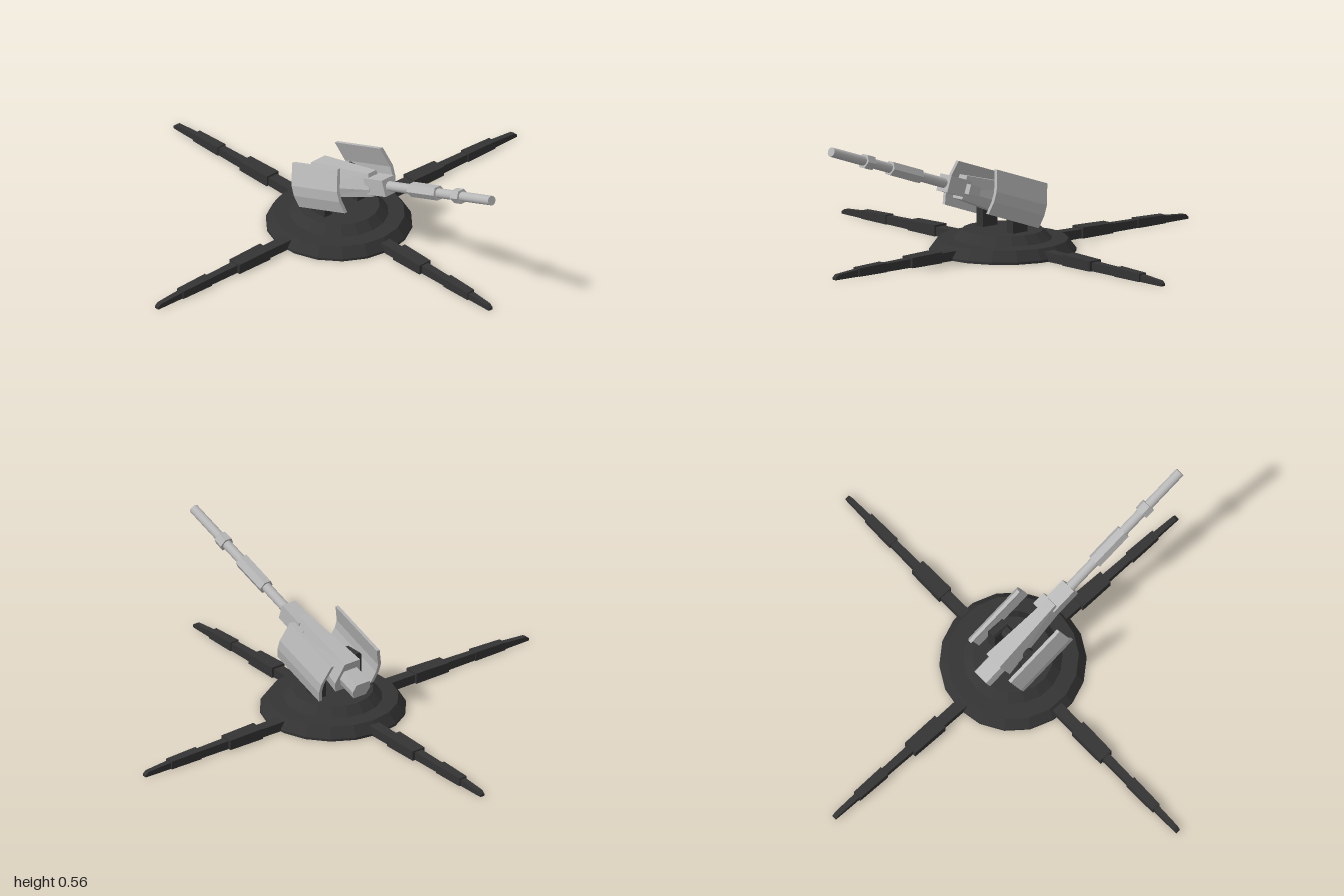
import * as THREE from 'three';

const dark = new THREE.MeshStandardMaterial({ color: 0x343434 });
dark.name = 'dark grey';
const light = new THREE.MeshStandardMaterial({ color: 0xb8b8b8 });
light.name = 'light grey';

function add(parent, name, geometry, material, x = 0, y = 0, z = 0) {
  const mesh = new THREE.Mesh(geometry, material);
  mesh.name = name;
  mesh.position.set(x, y, z);
  parent.add(mesh);
  return mesh;
}

// Flat facets for round geometries
function faceted(geometry) {
  const g = geometry.toNonIndexed();
  g.computeVertexNormals();
  return g;
}

// Box from x0 to x1 standing on y = 0, its width and height changing along x
function taperedBar(x0, x1, w0, w1, h0, h1) {
  const g = new THREE.BoxGeometry(1, 1, 1);
  const p = g.attributes.position;
  for (let i = 0; i < p.count; i++) {
    const t = p.getX(i) + 0.5;
    p.setXYZ(i, x0 + (x1 - x0) * t,
      (p.getY(i) + 0.5) * (h0 + (h1 - h0) * t),
      p.getZ(i) * (w0 + (w1 - w0) * t));
  }
  g.computeVertexNormals();
  return g;
}

// Prism along z from z0 to z1, shrinking towards the front
function prism(points, z0, z1, sx = 1, sy = 1) {
  const shape = new THREE.Shape(points.map(([x, y]) => new THREE.Vector2(x, y)));
  const g = new THREE.ExtrudeGeometry(shape, { depth: z1 - z0, bevelEnabled: false });
  const p = g.attributes.position;
  for (let i = 0; i < p.count; i++) {
    const t = p.getZ(i) / (z1 - z0);
    p.setXYZ(i, p.getX(i) * (1 + (sx - 1) * t), p.getY(i) * (1 + (sy - 1) * t), p.getZ(i) + z0);
  }
  g.computeVertexNormals();
  return g;
}

function makeArm(length) {
  const arm = new THREE.Group();
  add(arm, 'armRoot', taperedBar(0.25, 0.42, 0.05, 0.046, 0.04, 0.038), dark);
  add(arm, 'armInnerBlock', taperedBar(0.4, 0.57, 0.066, 0.062, 0.047, 0.043), dark);
  add(arm, 'armBar', taperedBar(0.55, 0.74, 0.036, 0.031, 0.037, 0.034), dark);
  add(arm, 'armOuterBlock', taperedBar(0.715, 0.87, 0.043, 0.038, 0.039, 0.035), dark);
  add(arm, 'armTip', taperedBar(0.86, 0.985, 0.026, 0.022, 0.03, 0.021), dark);
  add(arm, 'armToe', taperedBar(0.985, 1, 0.022, 0.02, 0.021, 0.01), dark);
  arm.scale.x = length;
  return arm;
}

export function createModel() {
  const model = new THREE.Group();
  model.name = 'fieldGun';

  // Stepped round base, hollow underneath
  const profile = [[0, 0.045], [0.225, 0.045], [0.298, 0], [0.304, 0], [0.304, 0.01], [0.272, 0.053],
    [0.205, 0.056], [0.168, 0.092], [0, 0.092]].map(([r, y]) => new THREE.Vector2(r, y));
  add(model, 'base', faceted(new THREE.LatheGeometry(profile, 18)), dark, 0.008, 0, 0.03);

  // Four outrigger arms: left, back, right, front
  [0.99, 0.995, 1.01, 0.935].forEach((length, i) => {
    const arm = makeArm(length);
    arm.name = ['leftArm', 'backArm', 'rightArm', 'frontArm'][i];
    arm.position.set(0.01, 0, 0.02);
    arm.rotation.y = i * Math.PI / 2 - 0.005;
    model.add(arm);
  });

  // Posts carrying the gun, with chamfered tops
  const post = [[-0.021, 0], [0.021, 0], [0.021, 0.134], [0.013, 0.146], [-0.013, 0.146], [-0.021, 0.134]];
  for (const s of [-1, 1]) {
    add(model, s > 0 ? 'leftPost' : 'rightPost', prism(post, -0.04, 0.04), dark, 0.003 + s * 0.093, 0.09, 0.03);
  }

  // Everything that tilts with the barrel; local z runs along the gun
  const gun = new THREE.Group();
  gun.name = 'gun';
  gun.position.set(0, 0.24, 0.059);
  gun.rotation.x = -THREE.MathUtils.degToRad(19);
  model.add(gun);

  const axle = add(gun, 'axle', faceted(new THREE.CylinderGeometry(0.025, 0.025, 0.17, 8)), dark, 0, -0.03, -0.02);
  axle.rotation.z = Math.PI / 2;

  // Breech and receiver, both six-sided
  const axisY = -0.013;
  const body = [[-0.052, -0.07], [0.052, -0.07], [0.066, -0.02], [0.04, 0.078], [-0.04, 0.078], [-0.066, -0.02]];
  add(gun, 'receiver', prism(body, -0.135, 0.205, 0.55, 0.68), light, 0, axisY, 0);
  const breech = [[-0.032, -0.037], [0.032, -0.037], [0.046, 0], [0.034, 0.037], [-0.034, 0.037], [-0.046, 0]];
  add(gun, 'breech', prism(breech, -0.226, -0.13), light, 0, axisY, 0);
  add(gun, 'barrelMount', new THREE.BoxGeometry(0.068, 0.072, 0.12), light, 0, axisY, 0.24);
  add(gun, 'sightBox', new THREE.BoxGeometry(0.032, 0.042, 0.06), light, 0.044, axisY, 0.175);

  // Round barrel with hexagonal sleeve and collar
  const tube = add(gun, 'barrel', new THREE.CylinderGeometry(0.02, 0.021, 0.676, 16), light, 0, axisY, 0.618);
  tube.rotation.x = Math.PI / 2;
  for (const [name, z0, z1] of [['barrelSleeve', 0.445, 0.617], ['muzzleCollar', 0.723, 0.768]]) {
    const ring = add(gun, name, faceted(new THREE.CylinderGeometry(0.032, 0.032, z1 - z0, 6)),
      light, 0, axisY, (z0 + z1) / 2);
    ring.rotation.set(Math.PI / 2, Math.PI / 2, 0);
  }

  // Bent side shields
  const plate = [[0.112, 0.094], [0.127, 0.094], [0.157, 0.005], [0.157, -0.04],
    [0.143, -0.094], [0.128, -0.094], [0.142, -0.038], [0.142, 0.003]];
  for (const s of [-1, 1]) {
    add(gun, s > 0 ? 'leftShield' : 'rightShield',
      prism(plate.map(([x, y]) => [x * s, y]), -0.146, 0.146), light);
  }

  return model;
}
